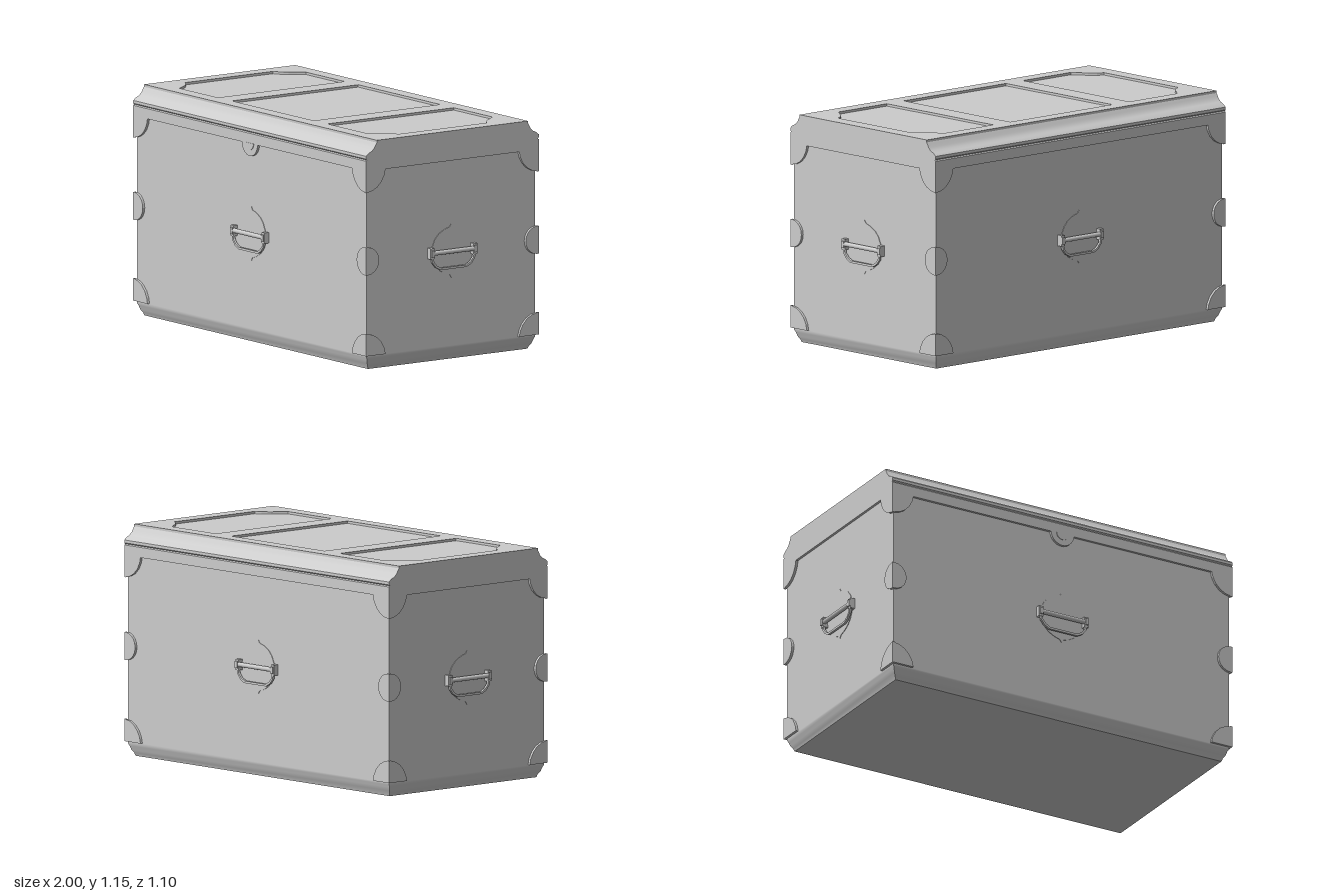
import * as THREE from 'three';
import { toCreasedNormals } from 'three/addons/utils/BufferGeometryUtils.js';

const W = 0.967, D = 0.517, T = 0.013; // body half width, half depth, fitting thickness
const mat = new THREE.MeshStandardMaterial({ color: 0xcccccc });

function add(parent, name, geometry, x = 0, y = 0, z = 0) {
  const mesh = new THREE.Mesh(geometry, mat);
  mesh.name = name;
  mesh.position.set(x, y, z);
  parent.add(mesh);
  return mesh;
}

const shapeOf = (pts) => new THREE.Shape(pts.map(([x, y]) => new THREE.Vector2(x, y)));
const mirrorX = (pts) => pts.map(([x, y]) => [-x, y]).reverse();
const extrude = (shape, depth) => new THREE.ExtrudeGeometry(shape, { depth, bevelEnabled: false });

// Half disc opening downwards or sideways, as points
function arc(cx, cy, r, from, to, n = 10) {
  return Array.from({ length: n + 1 }, (_, i) => {
    const a = from + (to - from) * i / n;
    return [cx + r * Math.cos(a), cy + r * Math.sin(a)];
  });
}

// Four-sided coved skirt: each side is smooth, the mitred corners stay sharp
function skirtGeometry() {
  const rows = [[0, 0.027], [0.015, 0.022], [0.03, 0.012], [0.05, 0.006], [0.062, 0], [0.072, 0]];
  const pos = [], index = [];
  for (let s = 0; s < 4; s++) {
    const w = s % 2 ? D : W, d = s % 2 ? W : D;
    const base = pos.length / 3, c = Math.round(Math.cos(s * Math.PI / 2)), n = Math.round(Math.sin(s * Math.PI / 2));
    rows.forEach(([y, inset], r) => {
      for (const e of [-1, 1]) {
        const x = e * (w - inset), z = d - inset;
        pos.push(x * c + z * n, y, z * c - x * n);
      }
      if (r) {
        const a = base + (r - 1) * 2;
        index.push(a, a + 1, a + 3, a, a + 3, a + 2);
      }
    });
  }
  const g = new THREE.BufferGeometry();
  g.setAttribute('position', new THREE.Float32BufferAttribute(pos, 3));
  g.setIndex(index);
  g.computeVertexNormals();
  return g;
}

// Carrying handle on a pointed round backplate, facing +z
function createHandle() {
  const handle = new THREE.Group();
  handle.name = 'handle';
  const half = [[0, -0.135], [0.01, -0.12], [0.04, -0.111], [0.075, -0.092], [0.1, -0.065], [0.116, -0.03],
    [0.119, 0], [0.116, 0.03], [0.1, 0.065], [0.075, 0.092], [0.04, 0.111], [0.01, 0.12], [0, 0.135]];
  add(handle, 'backplate', extrude(shapeOf([...half, ...mirrorX(half).slice(1, -1)]), 0.003));
  const bar = add(handle, 'handleBar', new THREE.CylinderGeometry(0.012, 0.012, 0.25, 12), 0, 0, 0.02);
  bar.rotation.z = Math.PI / 2;
  for (const s of [-1, 1]) {
    add(handle, 'handleMount', new THREE.BoxGeometry(0.024, 0.054, 0.026), s * 0.131, -0.001, 0.013);
    add(handle, 'handleMountCap', new THREE.BoxGeometry(0.018, 0.034, 0.007), s * 0.131, -0.001, 0.0295);
  }
  // Hanging bail as a flat bent band
  const outer = [[0.135, -0.02], [0.13, -0.047], [0.11, -0.072], [0.08, -0.088]];
  const inner = [[0.124, -0.02], [0.12, -0.043], [0.103, -0.063], [0.077, -0.077]];
  const band = [...mirrorX(outer).reverse(), ...outer.slice().reverse(), ...inner, ...mirrorX(inner)];
  add(handle, 'bail', extrude(shapeOf(band), 0.012), 0, 0, 0.013);
  return handle;
}

// Metal fittings on one wall of half width w, facing +z
function createFittings(w) {
  const wall = new THREE.Group();
  wall.name = 'wallFittings';
  const e = w + T;
  const curve = [[0.12, 0], [0.113, 0.03], [0.096, 0.062], [0.07, 0.088], [0.04, 0.104], [0, 0.112]];
  const lower = [[e, 0.073], ...curve.map(([x, y]) => [e - x, 0.073 + y])];
  const upper = [[e, 1.007], ...curve.map(([x, y]) => [e - x, 1.007 - y])];
  const middle = [[e, 0.48], [e, 0.62], ...arc(e - 0.01, 0.55, 0.07, Math.PI / 2, Math.PI * 1.5)];
  const parts = { lowerCorner: lower, upperCorner: upper, edgeClasp: middle };
  for (const [name, pts] of Object.entries(parts)) {
    add(wall, name, extrude(shapeOf(pts), T));
    add(wall, name, extrude(shapeOf(mirrorX(pts)), T));
  }
  const handle = createHandle();
  handle.position.y = 0.55;
  wall.add(handle);
  return wall;
}

// Lid: coved profile run along x, topped by a plate with three recessed panels
function createLid() {
  const lid = new THREE.Group();
  lid.name = 'lid';
  const side = [[0.53, 1.005], [0.53, 1.056], [0.524, 1.061], [0.53, 1.067], [0.53, 1.081], [0.515, 1.094],
    [0.494, 1.103], [0.479, 1.118], [0.471, 1.132], [0.464, 1.143]];
  const length = 2 * (W + T);
  const profile = toCreasedNormals(extrude(shapeOf([...side, ...mirrorX(side)]), length), 0.6);
  profile.rotateY(Math.PI / 2);
  add(lid, 'lidBody', profile, -length / 2);

  const x = W + T, z = 0.464, p = 0.388;
  const top = shapeOf([[-x, -z], [x, -z], [x, z], [-x, z]]);
  const corner = [[0.9, 0.27], [0.868, 0.287], [0.835, 0.318], [0.812, 0.352], [0.785, p]];
  const end = [[0.46, -p], ...corner.map(([a, b]) => [a, -b]).reverse(), ...corner, [0.46, p]];
  const centre = [[-0.345, -p], [0.345, -p], [0.345, p], [-0.345, p]];
  top.holes = [end, mirrorX(end), centre].map((pts) => new THREE.Path(shapeOf(pts).getPoints()));
  const plate = extrude(top, 0.012);
  plate.rotateX(-Math.PI / 2);
  add(lid, 'panelledTop', plate, 0, 1.143);
  return lid;
}

export function createModel() {
  const chest = new THREE.Group();
  chest.name = 'chest';
  add(chest, 'body', new THREE.BoxGeometry(2 * W, 0.96, 2 * D), 0, 0.55);
  add(chest, 'baseSkirt', skirtGeometry());
  const floor = add(chest, 'floor', new THREE.PlaneGeometry(2 * (W - 0.027), 2 * (D - 0.027)));
  floor.rotation.x = Math.PI / 2;
  chest.add(createLid());

  // Fittings on all four walls
  for (let s = 0; s < 4; s++) {
    const angle = s * Math.PI / 2, d = s % 2 ? W : D;
    const wall = createFittings(s % 2 ? D : W);
    wall.rotation.y = angle;
    wall.position.set(Math.sin(angle) * d, 0, Math.cos(angle) * d);
    chest.add(wall);
  }

  // Front latch
  add(chest, 'latchPlate', extrude(shapeOf(arc(0, 1.008, 0.066, Math.PI, 2 * Math.PI, 14)), T), 0, 0, D);
  add(chest, 'latchBoss', extrude(shapeOf(arc(0, 1.008, 0.036, Math.PI, 2 * Math.PI, 10)), T + 0.003), 0, 0, D);
  return chest;
}
